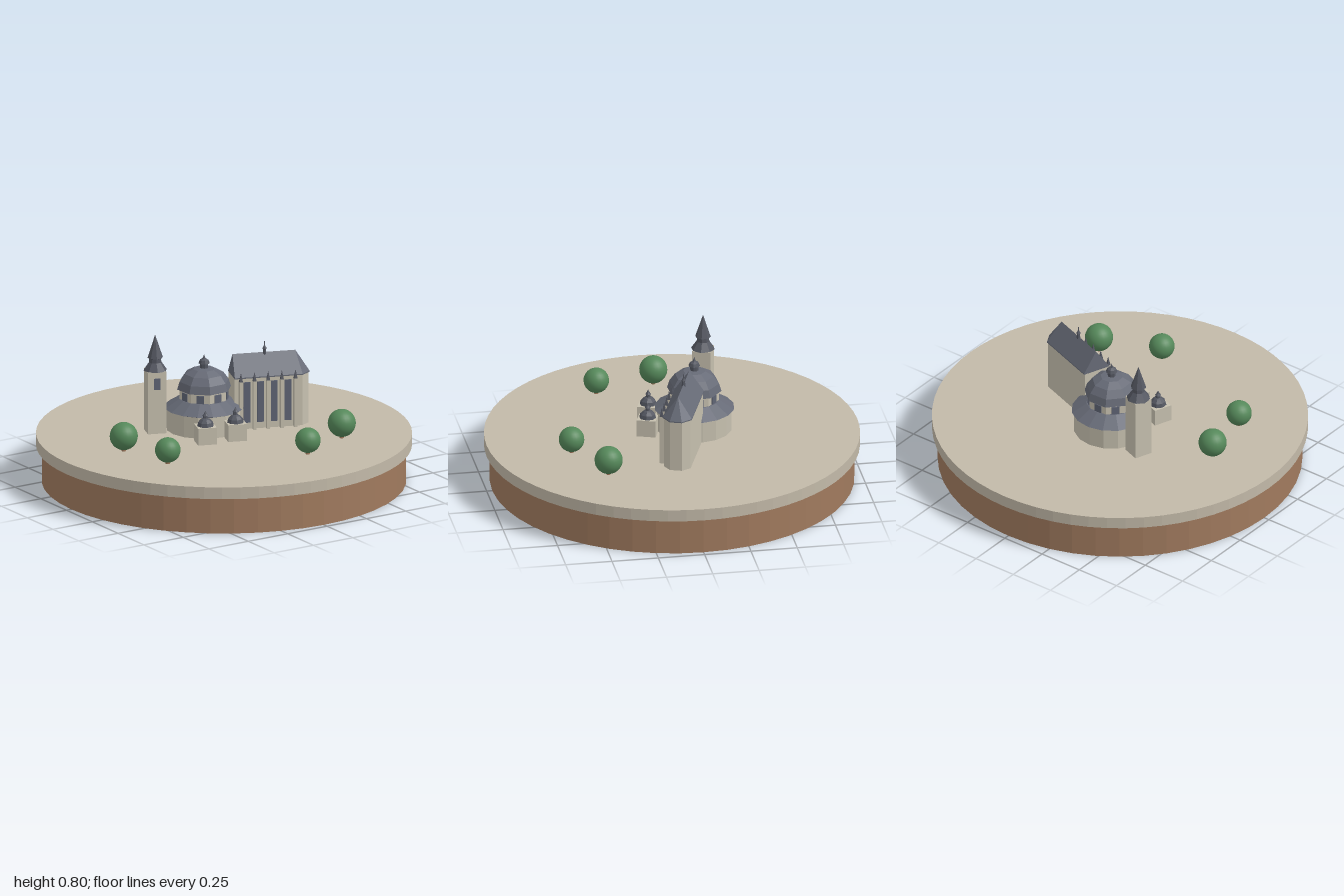
import * as THREE from 'three';

const mat = (name, color, flat = true) => {
  const m = new THREE.MeshStandardMaterial({ color, flatShading: flat });
  m.name = name;
  return m;
};

export function createModel() {
  const root = new THREE.Group();
  root.name = 'churchIsland';
  const M = {
    paving: mat('paving', 0xc2b9a8),
    earth: mat('earth', 0xa07a5e),
    wall: mat('wallStone', 0xc6c0af),
    roof: mat('slateRoof', 0x666a76),
    spire: mat('darkSlate', 0x545761),
    glass: mat('windowGlass', 0x5f6474),
    leaf: mat('foliage', 0x55885a, false),
  };

  const add = (parent, name, geo, material, x = 0, y = 0, z = 0) => {
    const mesh = new THREE.Mesh(geo, material);
    mesh.name = name;
    mesh.position.set(x, y, z);
    parent.add(mesh);
    return mesh;
  };
  // box and drum helpers take the bottom and top heights
  const box = (p, name, m, w, d, y0, y1, x = 0, z = 0) =>
    add(p, name, new THREE.BoxGeometry(w, y1 - y0, d), m, x, (y0 + y1) / 2, z);
  const drum = (p, name, m, rTop, rBottom, y0, y1, sides, x = 0, z = 0) =>
    add(p, name, new THREE.CylinderGeometry(rTop, rBottom, y1 - y0, sides), m, x, (y0 + y1) / 2, z);
  const lathe = (p, name, m, profile, sides, x = 0, z = 0) =>
    add(p, name, new THREE.LatheGeometry(profile.map(([r, y]) => new THREE.Vector2(r, y)), sides), m, x, 0, z);

  // round base
  const G = 0.265;
  drum(root, 'earthBase', M.earth, 0.97, 0.97, 0, 0.2, 48);
  drum(root, 'pavedDisc', M.paving, 1, 1, 0.2, G, 64);

  // trees
  [[-0.63, -0.01, 0.075], [-0.56, 0.31, 0.068], [0.16, 0.57, 0.068], [0.47, 0.425, 0.075]].forEach(([x, z, r]) => {
    add(root, 'treeCrown', new THREE.SphereGeometry(r, 24, 16), M.leaf, x, G + 0.008 + r, z);
    drum(root, 'treeTrunk', M.earth, 0.012, 0.012, G, G + 0.04, 8, x, z);
  });

  // church, its long axis turned toward the front
  const church = new THREE.Group();
  church.name = 'church';
  church.position.set(-0.043, 0, -0.128);
  church.rotation.y = -0.349;
  root.add(church);

  // rotunda: ambulatory, octagonal drum, dome and lantern
  drum(church, 'ambulatoryWall', M.wall, 0.202, 0.202, G, 0.385, 16);
  lathe(church, 'ambulatoryRoof', M.roof, [[0.2, 0.38], [0.214, 0.385], [0.135, 0.435], [0, 0.435]], 16);
  drum(church, 'octagonWall', M.wall, 0.133, 0.133, 0.43, 0.495, 8);
  for (let i = 0; i < 8; i++) {
    const a = (i + 0.5) * Math.PI / 4;
    const r = 0.133 * Math.cos(Math.PI / 8) + 0.002;
    const w = add(church, 'octagonWindow', new THREE.BoxGeometry(0.042, 0.045, 0.006), M.glass,
      Math.sin(a) * r, 0.456, Math.cos(a) * r);
    w.rotation.y = a;
  }
  lathe(church, 'dome', M.roof,
    [[0.13, 0.485], [0.147, 0.488], [0.134, 0.53], [0.105, 0.57], [0.06, 0.595], [0, 0.602]], 8);
  lathe(church, 'domeLantern', M.spire,
    [[0.022, 0.59], [0.022, 0.622], [0.031, 0.625], [0.024, 0.642], [0.008, 0.652], [0, 0.675]], 8);

  // nave with a polygonal apse
  const plan = (w, grow) => [
    [0.15, -w], [0.52, -w], [0.562 + grow, -0.032], [0.562 + grow, 0.032], [0.52, w], [0.15, w]];
  const prism = (pts, y0, y1) => {
    const shape = new THREE.Shape(pts.map(([x, z]) => new THREE.Vector2(x, z)));
    return new THREE.ExtrudeGeometry(shape, { depth: y1 - y0, bevelEnabled: false })
      .rotateX(Math.PI / 2).translate(0, y1, 0);
  };
  const EAVE = 0.552, RIDGE = 0.664;
  add(church, 'naveWalls', prism(plan(0.072, 0), G, EAVE), M.wall);
  const eaves = plan(0.078, 0.007);
  add(church, 'naveEaves', prism(eaves, EAVE - 0.006, EAVE), M.roof);
  const p = eaves.map(([x, z]) => [x, EAVE, z]);
  const A = [0.155, RIDGE, 0], B = [0.498, RIDGE, 0];
  const tris = [
    p[1], p[0], A, p[1], A, B,
    p[2], p[1], B, p[3], p[2], B, p[4], p[3], B,
    p[5], p[4], B, p[5], B, A,
    p[0], p[5], A];
  const roofGeo = new THREE.BufferGeometry();
  roofGeo.setAttribute('position', new THREE.Float32BufferAttribute(tris.flat(), 3));
  roofGeo.computeVertexNormals();
  add(church, 'naveRoof', roofGeo, M.roof);
  lathe(church, 'ridgeTurret', M.spire,
    [[0.01, 0.65], [0.009, 0.68], [0.012, 0.684], [0.004, 0.7], [0, 0.735]], 8, 0.33);

  // buttresses with pinnacles, tall windows between them
  for (let i = 0; i < 5; i++) {
    const x = 0.18 + i * 0.0745;
    box(church, 'buttress', M.wall, 0.016, 0.03, G, 0.535, x, 0.086);
    const cap = add(church, 'pinnacle', new THREE.ConeGeometry(0.013, 0.05, 4), M.spire, x, 0.56, 0.092);
    cap.rotation.y = Math.PI / 4;
    if (i < 4) box(church, 'naveWindow', M.glass, 0.036, 0.006, 0.3, 0.525, x + 0.037, 0.073);
  }

  // bell tower with a two-stage spire
  const tower = new THREE.Group();
  tower.name = 'bellTower';
  tower.position.set(-0.267, 0, 0);
  church.add(tower);
  box(tower, 'towerShaft', M.wall, 0.1, 0.1, G, 0.607);
  box(tower, 'towerWindow', M.glass, 0.036, 0.006, 0.51, 0.572, 0, 0.051);
  lathe(tower, 'towerSpire', M.spire,
    [[0.05, 0.602], [0.064, 0.606], [0.034, 0.65], [0.032, 0.672], [0.042, 0.676], [0.022, 0.735], [0, 0.802]], 8);

  // two front chapels with small domes
  [[-0.053, 0.258], [0.117, 0.231]].forEach(([x, z]) => {
    box(church, 'chapelWall', M.wall, 0.102, 0.102, G, 0.358, x, z);
    lathe(church, 'chapelDome', M.spire,
      [[0.046, 0.357], [0.04, 0.378], [0.024, 0.394], [0.013, 0.4], [0.012, 0.412], [0.016, 0.414],
        [0.008, 0.425], [0, 0.442]], 8, x, z);
  });

  return root;
}
